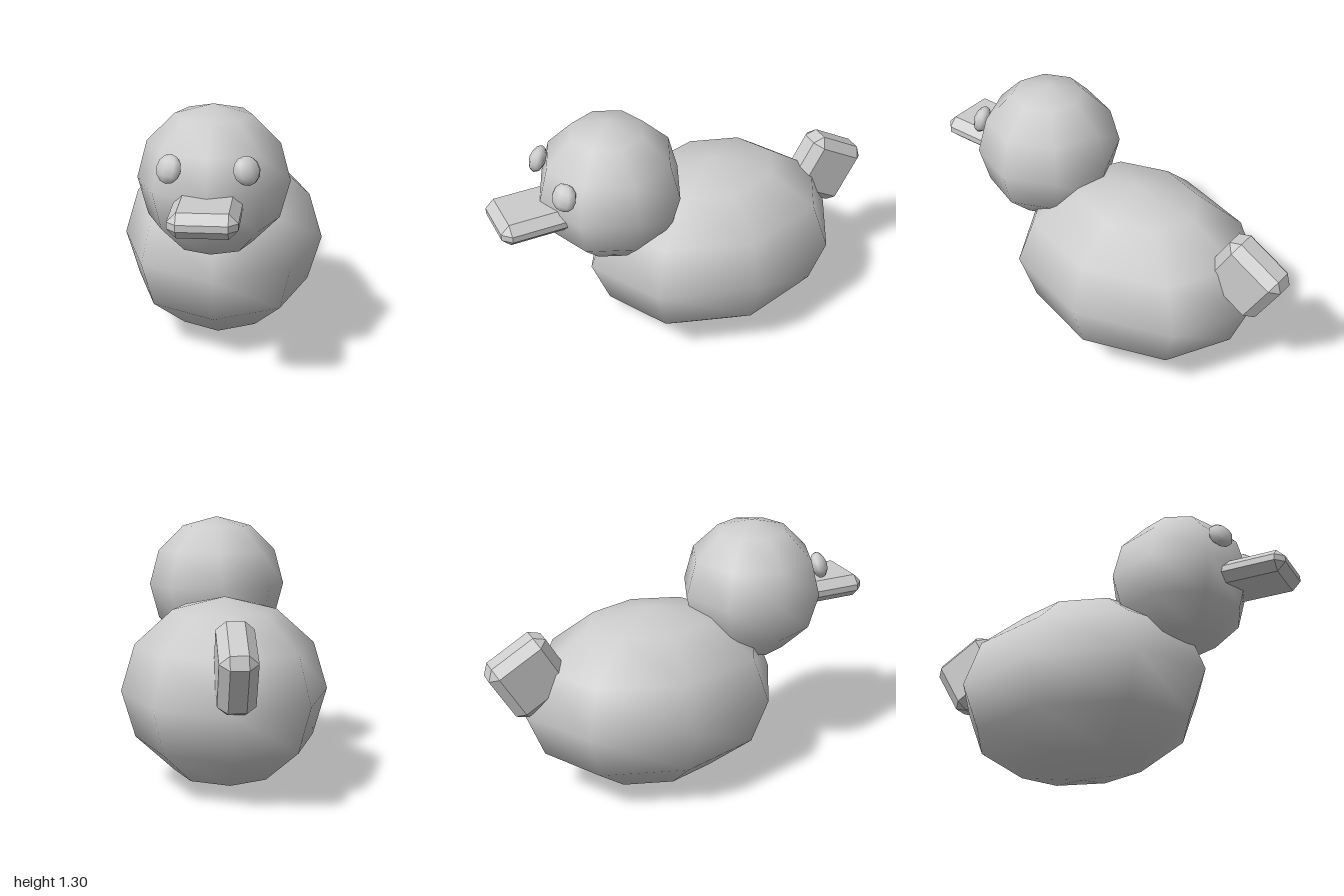
import * as THREE from 'three';
import { ConvexGeometry } from 'three/addons/geometries/ConvexGeometry.js';

const SPHERE = [8, 6];

// Box with every edge cut at 45 degrees by c
function chamferedBox(w, h, d, c) {
  const points = [];
  for (const x of [-1, 1]) for (const y of [-1, 1]) for (const z of [-1, 1]) {
    const corner = new THREE.Vector3(x * w / 2, y * h / 2, z * d / 2);
    points.push(
      corner.clone().sub(new THREE.Vector3(0, y * c, z * c)),
      corner.clone().sub(new THREE.Vector3(x * c, 0, z * c)),
      corner.clone().sub(new THREE.Vector3(x * c, y * c, 0)),
    );
  }
  return new ConvexGeometry(points);
}

export function createModel() {
  const group = new THREE.Group();
  const grey = new THREE.MeshStandardMaterial({ color: 0xcccccc });
  grey.name = 'plain grey';

  const add = (name, geometry, x, y, z) => {
    const mesh = new THREE.Mesh(geometry, grey);
    mesh.name = name;
    mesh.position.set(x, y, z);
    group.add(mesh);
    return mesh;
  };

  // Egg-shaped body resting on the ground
  const bodyShape = new THREE.SphereGeometry(1, ...SPHERE).scale(0.515, 0.465, 0.675);
  add('body', bodyShape, 0, 0.465, -0.145);

  // Round head
  const head = add('head', new THREE.SphereGeometry(0.36, ...SPHERE), 0, 0.94, 0.41);

  // Flattened eyes, facing away from the head centre
  const eyeShape = new THREE.SphereGeometry(0.067, ...SPHERE).scale(1, 1, 0.62);
  for (const side of [-1, 1]) {
    const eye = add(side > 0 ? 'leftEye' : 'rightEye', eyeShape, side * 0.173, 1.07, 0.703);
    eye.lookAt(eye.position.clone().multiplyScalar(2).sub(head.position));
  }

  // Flat bill, its back end sunk in the head
  add('beak', chamferedBox(0.31, 0.115, 0.4, 0.042), 0, 0.897, 0.8);

  // Tail block tipped backwards
  const tail = add('tail', chamferedBox(0.175, 0.335, 0.335, 0.046), 0, 0.684, -0.793);
  tail.rotation.x = -Math.PI / 6;

  return group;
}
